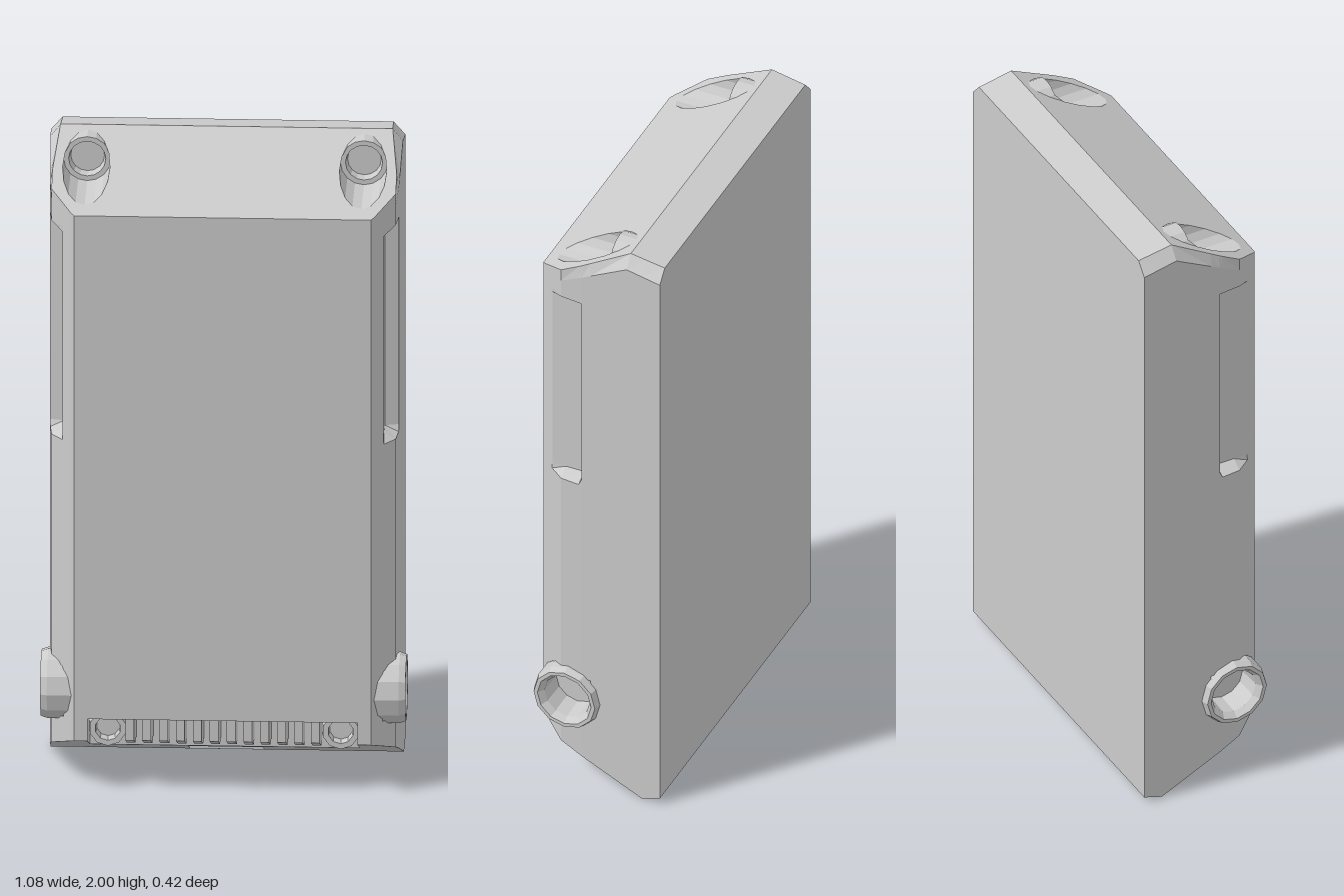
import * as THREE from 'three';

const material = new THREE.MeshStandardMaterial({ color: 0xcccccc, flatShading: true, side: THREE.DoubleSide });

// Piecewise linear lookup
function lookup(table, t) {
  for (let i = 1; i < table.length; i++) {
    const [a, va] = table[i - 1], [b, vb] = table[i];
    if (t <= b) return va + (vb - va) * Math.max(0, (t - a) / (b - a));
  }
  return table[table.length - 1][1];
}

// Housing outline: half width, top and bottom heights as functions of depth
const halfWidth = z => lookup([[-0.21, 0.525], [-0.1, 0.522], [0.05, 0.517], [0.12, 0.51], [0.2, 0.45], [0.21, 0.44]], z);
const topY = z => lookup([[-0.21, 1.98], [-0.1, 2], [0.21, 1.83]], z);
const bottomY = z => lookup([[-0.21, 0.02], [-0.15, 0], [0.21, 0.16]], z);
const topCut = z => lookup([[-0.21, 0.035], [-0.1, 0.03], [0.1, 0]], z);
const topZ = y => 0.21 - (y - 1.83) * 0.31 / 0.17;
const bottomZ = y => -0.15 + y * 2.25;
const depths = [-0.21, -0.15, -0.1, 0.02, 0.025, 0.05, 0.06, 0.12, 0.165, 0.17, 0.2, 0.21];
const topX = z => halfWidth(z) - topCut(z);

// Side surface, sunk at the long pocket and under the round socket
function sideX(z, y) {
  let x = halfWidth(z);
  if (y > 1.11 && y < 1.77 && z > 0.055) x = Math.min(x, 0.475);
  if (Math.abs(y - 0.3) < 0.075 && z > 0.022 && z < 0.168) x = Math.min(x, 0.44);
  return x;
}

function sideGeometry(s) {
  const pos = [], index = [], rows = 11;
  for (const z of depths) {
    const ys = [bottomY(z), 0.22, 0.23, 0.37, 0.38, 1.1, 1.12, 1.76, 1.78, topY(z) - 0.04, topY(z)];
    ys.forEach((y, j) => pos.push(s * (j === rows - 1 ? topX(z) : sideX(z, y)), y, z));
  }
  for (let i = 0; i < depths.length - 1; i++) {
    for (let j = 0; j < rows - 1; j++) {
      const a = i * rows + j, b = a + rows;
      if (s > 0) index.push(a, a + 1, b, b, a + 1, b + 1);
      else index.push(a, b, a + 1, b, b + 1, a + 1);
    }
  }
  return build(pos, index);
}

function build(pos, index) {
  const g = new THREE.BufferGeometry();
  g.setAttribute('position', new THREE.Float32BufferAttribute(pos, 3));
  g.setIndex(index);
  g.computeVertexNormals();
  return g;
}

// Flat convex face from its corners
function face(corners) {
  const index = [];
  for (let i = 1; i < corners.length - 1; i++) index.push(0, i, i + 1);
  return build(corners.flat(), index);
}

// Flat outline with holes, its depth given by a rule of y
function sheet(points, holes, depth) {
  const toV = list => list.map(([x, y]) => new THREE.Vector2(x, y));
  const shape = new THREE.Shape(toV(points));
  holes.forEach(h => shape.holes.push(new THREE.Path(toV(h))));
  const g = new THREE.ShapeGeometry(shape), p = g.attributes.position;
  for (let i = 0; i < p.count; i++) p.setZ(i, depth(p.getY(i)));
  g.computeVertexNormals();
  return g;
}

const lathe = (points, sides) => new THREE.LatheGeometry(points.map(([r, h]) => new THREE.Vector2(r, h)), sides);
const mirrored = list => [...list, ...list.map(([x, y]) => [-x, y]).reverse()];

// Walls of a box-like cut into the sloped underside
function cutWalls(w, y0, y1, zBack, zFront, yFront) {
  const list = [
    face([[-w, y0, zBack], [w, y0, zBack], [w, y1, zBack], [-w, y1, zBack]]),
    face([[-w, y1, zBack], [w, y1, zBack], [w, y1, zFront], [-w, y1, zFront]]),
  ];
  for (const s of [-1, 1]) {
    const c = [[s * w, y0, zBack], [s * w, y1, zBack], [s * w, y1, zFront], [s * w, yFront, zFront]];
    list.push(face(s > 0 ? c.reverse() : c));
  }
  return list;
}

export function createModel() {
  const model = new THREE.Group();
  const add = (name, geometry, x = 0, y = 0, z = 0) => {
    const mesh = new THREE.Mesh(geometry, material);
    mesh.name = name;
    mesh.position.set(x, y, z);
    model.add(mesh);
  };

  // Housing sides, front and back
  add('leftSide', sideGeometry(1));
  add('rightSide', sideGeometry(-1));
  add('frontPanel', sheet(mirrored([[0.4, 0.23], [0.4, 0.16], [0.44, 0.16], [0.44, 1.83]]), [], () => 0.21));
  add('backPanel', sheet(mirrored([[0.525, 0.02], [0.525, 1.94], [0.49, 1.98]]), [], () => 0.21).rotateY(Math.PI));

  // Top edge and sloped top with two round openings
  const tb = topX(-0.21), tf = topX(-0.1);
  add('topEdge', face([[-tb, 1.98, -0.21], [-tf, 2, -0.1], [tf, 2, -0.1], [tb, 1.98, -0.21]]));
  const sides = 16, radius = 0.07;
  const circle = cx => Array.from({ length: sides }, (_, i) => {
    const a = i / sides * Math.PI * 2;
    return [cx + radius * Math.cos(a), 1.92 + radius * Math.sin(a)];
  });
  const topOutline = depths.filter(z => z >= -0.1).reverse().map(z => [topX(z), topY(z)]);
  add('topSlope', sheet(mirrored(topOutline), [circle(-0.41), circle(0.41)], topZ));

  // Screw wells, with a small hood standing above the slope
  for (const s of [-1, 1]) {
    const pos = [], index = [];
    circle(s * 0.41).forEach(([x, y], i) => {
      pos.push(x, y, topZ(y), x, y, -0.025);
      const a = 2 * i, b = 2 * ((i + 1) % sides);
      index.push(a, b, a + 1, b, b + 1, a + 1);
    });
    add('topScrewWell', build(pos, index));
    const floor = lathe([[0, -0.03], [0.05, -0.03], [0.055, 0], [radius, 0]], sides);
    add('topScrewSeat', floor.rotateX(Math.PI / 2), s * 0.41, 1.92, -0.025);
  }

  // Sloped underside with vent opening and centre notch
  const bottomOutline = depths.filter(z => z >= -0.15).map(z => [halfWidth(z), bottomY(z)]);
  const notch = [[-0.11, 0.004], [-0.11, 0.065], [0.11, 0.065], [0.11, 0.004]];
  add('underside', sheet(mirrored([...bottomOutline, [0.4, 0.16], [0.4, 0.08]]), [notch], bottomZ));
  const b0 = halfWidth(-0.21), b1 = halfWidth(-0.15);
  add('bottomEdge', face([[-b0, 0.02, -0.21], [b0, 0.02, -0.21], [b1, 0, -0.15], [-b1, 0, -0.15]]));
  cutWalls(0.4, 0.08, 0.23, 0.03, 0.21, 0.16).forEach(g => add('ventRecess', g));
  cutWalls(0.11, 0.004, 0.065, -0.14, -0.004, 0.065).forEach(g => add('centreNotch', g));

  // Vent fins, cut back along the slope
  const fin = new THREE.Shape([[0.03, 0.11], [0.09, 0.11], [0.205, 0.162], [0.205, 0.23], [0.03, 0.23]]
    .map(([z, y]) => new THREE.Vector2(-z, y)));
  const finGeometry = new THREE.ExtrudeGeometry(fin, { depth: 0.026, bevelEnabled: false });
  finGeometry.translate(0, 0, -0.013).rotateY(Math.PI / 2);
  for (let i = 0; i < 12; i++) add('ventFin', finGeometry, (i - 5.5) * 0.05);

  for (const s of [-1, 1]) {
    // Bottom screw bosses
    const boss = lathe([[0, 0.02], [0.035, 0.02], [0.038, 0.05], [0.055, 0.05], [0.06, 0]], 10);
    add('bottomScrewBoss', boss.rotateX(Math.PI / 2), s * 0.345, 0.15, 0.03);
    // Round side sockets
    const socket = lathe([[0, 0], [0.07, 0], [0.074, 0.075], [0.088, 0.095], [0.1, 0.095], [0.107, 0.075], [0.107, 0.0]], 12);
    add('sideSocket', socket.rotateZ(-s * Math.PI / 2), s * 0.446, 0.3, 0.095);
  }
  return model;
}
